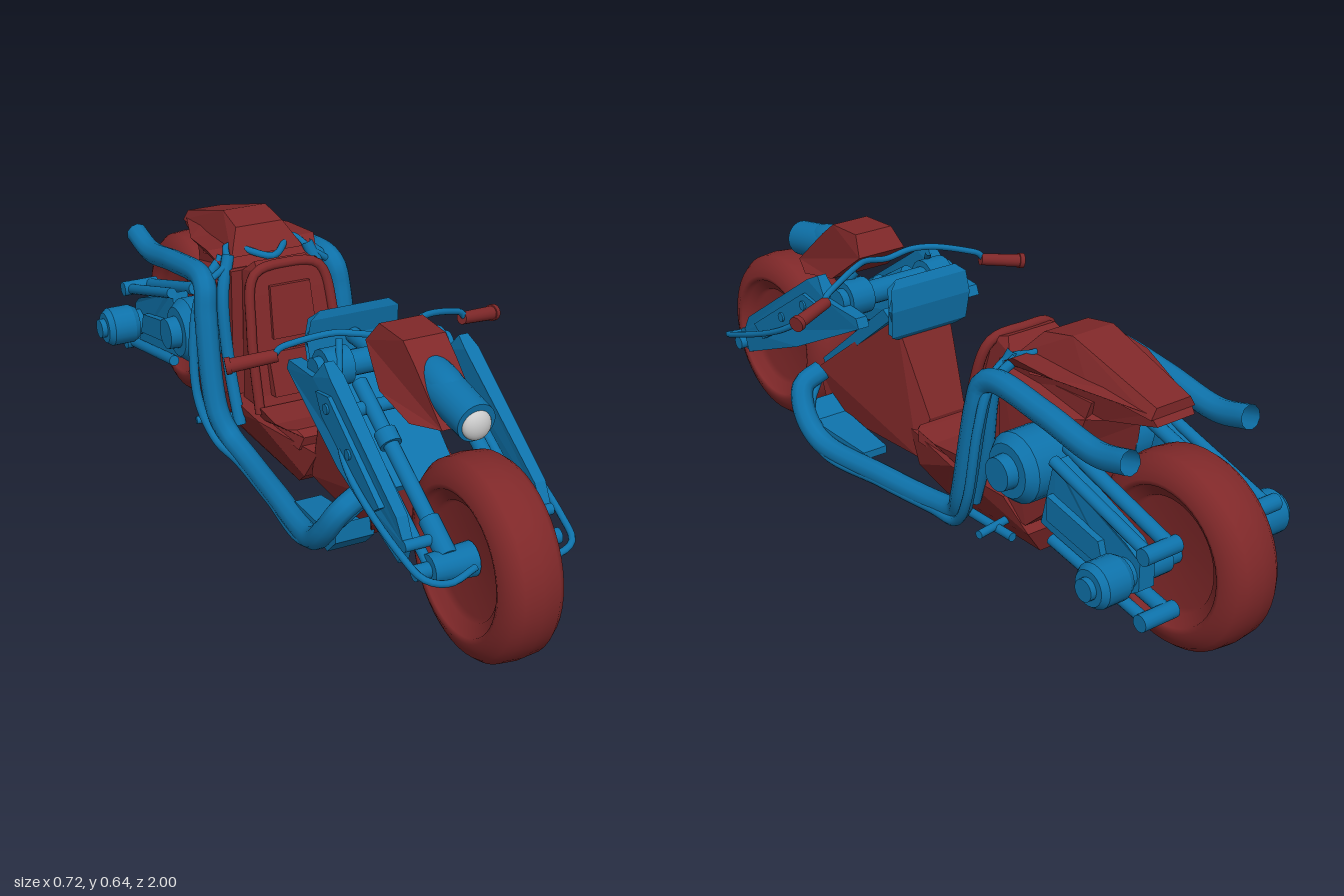
import * as THREE from 'three';

const RED = new THREE.MeshStandardMaterial({ color: 0x7f2829 });
const BLUE = new THREE.MeshStandardMaterial({ color: 0x0e72aa });
const GREY = new THREE.MeshStandardMaterial({ color: 0xcccccc });
const RED2 = RED.clone(), BLUE2 = BLUE.clone();
RED2.side = BLUE2.side = THREE.DoubleSide;

export function createModel() {
  const model = new THREE.Group();
  model.name = 'motorcycle';
  const V = (p) => new THREE.Vector3(...p);
  const add = (name, geo, mat) => {
    const m = new THREE.Mesh(geo, mat);
    m.name = name;
    model.add(m);
    return m;
  };

  // Faceted panel: side outline of [z, y, halfWidth], spread to both sides of x0
  function slab(name, mat, outline, x0 = 0) {
    let pts = outline;
    const flat = (a) => a.map(([z, y]) => new THREE.Vector2(z, y));
    if (THREE.ShapeUtils.isClockWise(flat(pts))) pts = [...pts].reverse();
    const L = pts.map(([z, y, w]) => [x0 - w, y, z]);
    const R = pts.map(([z, y, w]) => [x0 + w, y, z]);
    const out = [];
    for (const [a, b, c] of THREE.ShapeUtils.triangulateShape(flat(pts), [])) {
      out.push(L[a], L[b], L[c], R[a], R[c], R[b]);
    }
    pts.forEach((_, i) => {
      const j = (i + 1) % pts.length;
      out.push(L[i], R[i], R[j], L[i], R[j], L[j]);
    });
    const g = new THREE.BufferGeometry();
    g.setAttribute('position', new THREE.Float32BufferAttribute(out.flat(), 3));
    g.computeVertexNormals();
    return add(name, g, mat);
  }

  // Straight cylinder between two points
  function rod(name, mat, a, b, r, r2 = r, sides = 16) {
    const A = V(a), B = V(b), d = B.clone().sub(A);
    const m = add(name, new THREE.CylinderGeometry(r2, r, d.length(), sides), mat);
    m.position.copy(A).add(B).multiplyScalar(0.5);
    m.quaternion.setFromUnitVectors(new THREE.Vector3(0, 1, 0), d.normalize());
    return m;
  }

  const tube = (name, mat, pts, r, n = 48) =>
    add(name, new THREE.TubeGeometry(new THREE.CatmullRomCurve3(pts.map(V), false, 'centripetal'), n, r, 10), mat);

  // Wheels: round tyre, rim lip and dished disc
  for (const [name, z] of [['front', 0.77], ['rear', -0.77]]) {
    const half = [[0, 0.035], [0.128, 0.038], [0.135, 0.052], [0.158, 0.058], [0.163, 0.073], [0.175, 0.077],
      [0.195, 0.068], [0.213, 0.059], [0.226, 0.042]];
    const profile = [...half.map(([r, x]) => [r, -x]), [0.23, 0], ...half.reverse()];
    const w = add(name + 'Wheel', new THREE.LatheGeometry(profile.map(([r, x]) => new THREE.Vector2(r, x)), 48), RED2);
    w.rotation.z = Math.PI / 2;
    w.position.set(0, 0.23, z);
  }

  // Headlight
  rod('headlightHousing', BLUE, [0, 0.555, 0.5], [0, 0.522, 0.715], 0.05, 0.046, 24);
  const hood = add('headlightHood', new THREE.SphereGeometry(0.05, 24, 16), BLUE);
  hood.scale.set(0.9, 0.9, 2.4);
  hood.position.set(0, 0.555, 0.56);
  hood.rotation.x = 0.15;
  const lens = add('headlightLens', new THREE.SphereGeometry(0.035, 24, 16), GREY);
  lens.scale.z = 0.6;
  lens.position.set(0, 0.518, 0.715);

  // Front cowl
  slab('frontCowl', RED, [[0.66, 0.49, 0.05], [0.54, 0.595, 0.052], [0.49, 0.633, 0.053], [0.385, 0.635, 0.055],
    [0.35, 0.585, 0.07], [0.45, 0.505, 0.088], [0.58, 0.48, 0.085]]);

  // Front body wedge and its leading edge
  slab('frontBody', RED, [[0.475, 0.26, 0.12], [0.2, 0.48, 0.08], [0.18, 0.47, 0.08], [0.08, 0.235, 0.055],
    [0.1, 0.13, 0.08], [0.42, 0.13, 0.09], [0.465, 0.18, 0.11]]);
  slab('frontBodyTrim', BLUE, [[0.485, 0.275, 0.1], [0.21, 0.5, 0.1], [0.18, 0.48, 0.1], [0.47, 0.25, 0.1]]);

  // Floor pan, belly and seat
  slab('belly', RED, [[0.13, 0.2, 0.08], [0.08, 0.12, 0.09], [0, 0.065, 0.065], [-0.36, 0.06, 0.065],
    [-0.38, 0.13, 0.12], [-0.3, 0.2, 0.13], [-0.1, 0.2, 0.13]]);
  slab('seatCushion', RED, [[0.08, 0.225, 0.09], [0.06, 0.24, 0.1], [0.045, 0.238, 0.12], [-0.02, 0.225, 0.12],
    [-0.11, 0.23, 0.12], [-0.13, 0.19, 0.11], [0.07, 0.19, 0.1]]);
  slab('seatBack', RED, [[-0.115, 0.21, 0.1], [-0.13, 0.25, 0.11], [-0.185, 0.5, 0.105], [-0.2, 0.56, 0.08],
    [-0.24, 0.57, 0.07], [-0.27, 0.54, 0.09], [-0.25, 0.2, 0.1]]);
  slab('seatPad', RED, [[-0.11, 0.25, 0.075], [-0.14, 0.36, 0.08], [-0.15, 0.36, 0.08], [-0.14, 0.25, 0.08]]);
  slab('headRest', RED, [[-0.15, 0.39, 0.06], [-0.18, 0.52, 0.055], [-0.2, 0.52, 0.055], [-0.18, 0.39, 0.06]]);
  tube('seatPiping', RED, [[0.115, 0.21, -0.12], [0.115, 0.42, -0.165], [0.09, 0.55, -0.2], [0, 0.565, -0.21],
    [-0.09, 0.55, -0.2], [-0.115, 0.42, -0.165], [-0.115, 0.21, -0.12]], 0.013);
  tube('seatHoop', BLUE, [[0.19, 0.5, -0.3], [0.12, 0.55, -0.3], [0.09, 0.575, -0.36], [0, 0.56, -0.28],
    [-0.09, 0.575, -0.36], [-0.12, 0.55, -0.3], [-0.19, 0.5, -0.3]], 0.009);

  // Rear body and tail
  slab('rearBody', RED, [[-0.27, 0.54, 0.12], [-0.55, 0.52, 0.09], [-0.51, 0.4, 0.1], [-0.48, 0.25, 0.11],
    [-0.37, 0.15, 0.12], [-0.27, 0.15, 0.12]]);
  slab('tailBase', RED, [[-0.29, 0.54, 0.13], [-0.35, 0.575, 0.15], [-0.48, 0.565, 0.14], [-0.57, 0.56, 0.075],
    [-0.7, 0.54, 0.06], [-0.72, 0.515, 0.055], [-0.57, 0.48, 0.07], [-0.48, 0.47, 0.14], [-0.3, 0.5, 0.15]]);
  slab('tailRidge', RED, [[-0.31, 0.56, 0.1], [-0.36, 0.62, 0.065], [-0.45, 0.637, 0.06], [-0.71, 0.555, 0.05],
    [-0.71, 0.53, 0.065], [-0.53, 0.55, 0.085], [-0.4, 0.55, 0.14]]);

  // Handlebar and dash plate
  tube('handlebar', BLUE, [[0.25, 0.54, 0.25], [0.235, 0.558, 0.252], [0.21, 0.568, 0.26], [0.12, 0.59, 0.295],
    [0.07, 0.588, 0.32], [0, 0.575, 0.33], [-0.07, 0.588, 0.32], [-0.12, 0.59, 0.295], [-0.21, 0.568, 0.26],
    [-0.235, 0.558, 0.252], [-0.25, 0.54, 0.25]], 0.008);
  slab('dashPlate', BLUE, [[0.165, 0.59, 0.09], [0.152, 0.57, 0.115], [0.143, 0.515, 0.12], [0.152, 0.445, 0.115],
    [0.165, 0.43, 0.09], [0.168, 0.45, 0.115], [0.158, 0.515, 0.12], [0.168, 0.57, 0.115]]);
  rod('dashStem', BLUE, [0, 0.51, 0.15], [0, 0.51, 0.32], 0.02);
  rod('steeringCrossbar', BLUE, [-0.16, 0.51, 0.3], [0.16, 0.51, 0.3], 0.03);
  rod('upperYoke', BLUE, [-0.14, 0.46, 0.43], [0.14, 0.46, 0.43], 0.016);
  rod('frontAxle', BLUE, [-0.18, 0.24, 0.78], [0.18, 0.24, 0.78], 0.018);
  rod('rearAxle', BLUE, [-0.2, 0.23, -0.77], [0.2, 0.23, -0.77], 0.025);

  for (const s of [1, -1]) {
    const tag = s > 0 ? 'left' : 'right';

    // Grips
    rod(tag + 'Grip', RED, [s * 0.24, 0.541, 0.25], [s * 0.345, 0.523, 0.217], 0.015, 0.017);
    rod(tag + 'GripEnd', RED, [s * 0.34, 0.524, 0.218], [s * 0.352, 0.522, 0.214], 0.02);

    // Floor panel between the body and the exhaust
    slab(tag + 'FloorPanel', BLUE, [[0.44, 0.19, 0.05], [0.4, 0.15, 0.05], [0.2, 0.13, 0.035], [0.2, 0.11, 0.035],
      [0.4, 0.1, 0.05], [0.44, 0.14, 0.05]], s * 0.14);

    // Front fork
    slab(tag + 'ForkPlate', BLUE, [[0.74, 0.29, 0.012], [0.71, 0.34, 0.014], [0.41, 0.54, 0.018], [0.37, 0.56, 0.012],
      [0.33, 0.51, 0.02], [0.2, 0.5, 0.016], [0.19, 0.475, 0.016], [0.46, 0.34, 0.022], [0.72, 0.235, 0.012]], s * 0.172);
    slab(tag + 'ForkRib', BLUE, [[0.66, 0.34, 0.008], [0.42, 0.5, 0.008], [0.36, 0.49, 0.008], [0.39, 0.44, 0.008],
      [0.62, 0.31, 0.008]], s * 0.192);
    for (const t of [0.5, 0.76]) {
      const y = 0.28 + 0.25 * t, z = 0.72 - 0.4 * t;
      rod(tag + 'ForkBolt', BLUE, [s * 0.19, y, z], [s * 0.205, y, z], 0.012);
    }
    rod(tag + 'ForkTube', BLUE, [s * 0.1, 0.26, 0.78], [s * 0.1, 0.5, 0.38], 0.018);
    rod(tag + 'ForkSleeve', BLUE, [s * 0.1, 0.26, 0.78], [s * 0.1, 0.31, 0.7], 0.024);
    rod(tag + 'ForkCollar', BLUE, [s * 0.1, 0.41, 0.53], [s * 0.1, 0.43, 0.5], 0.026);
    rod(tag + 'ForkStrut', BLUE, [s * 0.14, 0.24, 0.78], [s * 0.14, 0.42, 0.48], 0.012);
    rod(tag + 'ForkCrossbar', BLUE, [s * 0.08, 0.285, 0.74], [s * 0.185, 0.285, 0.74], 0.013);
    rod(tag + 'FrontHub', BLUE, [s * 0.04, 0.24, 0.78], [s * 0.145, 0.24, 0.78], 0.04, 0.034);
    rod(tag + 'SteeringPod', BLUE, [s * 0.09, 0.51, 0.3], [s * 0.155, 0.51, 0.3], 0.046);
    rod(tag + 'SteeringPodCap', BLUE, [s * 0.15, 0.51, 0.3], [s * 0.175, 0.51, 0.3], 0.03);
    tube(tag + 'BrakeLine', BLUE, [[s * 0.06, 0.25, 0.83], [s * 0.13, 0.238, 0.845], [s * 0.18, 0.25, 0.83],
      [s * 0.198, 0.275, 0.76], [s * 0.2, 0.38, 0.5], [s * 0.15, 0.48, 0.38], [s * 0.11, 0.575, 0.3]], 0.008);

    // Exhaust: two pipes sweeping under the floor, the upper one runs to the tail
    tube(tag + 'Exhaust', BLUE2, [[s * 0.13, 0.26, 0.45], [s * 0.185, 0.23, 0.455], [s * 0.205, 0.17, 0.42],
      [s * 0.203, 0.115, 0.35], [s * 0.18, 0.105, 0.1], [s * 0.165, 0.11, -0.1], [s * 0.17, 0.13, -0.18],
      [s * 0.188, 0.19, -0.22], [s * 0.19, 0.44, -0.275], [s * 0.183, 0.5, -0.29], [s * 0.178, 0.518, -0.325],
      [s * 0.178, 0.5, -0.5], [s * 0.178, 0.472, -0.67], [s * 0.178, 0.49, -0.77]], 0.029, 100);
    tube(tag + 'LowerPipe', BLUE, [[s * 0.13, 0.24, 0.46], [s * 0.18, 0.18, 0.43], [s * 0.213, 0.1, 0.34],
      [s * 0.195, 0.093, 0.1], [s * 0.185, 0.1, -0.1], [s * 0.2, 0.12, -0.21], [s * 0.218, 0.21, -0.275],
      [s * 0.21, 0.4, -0.305], [s * 0.18, 0.5, -0.31], [s * 0.12, 0.56, -0.33]], 0.012, 70);
    tube(tag + 'SeatFrame', BLUE, [[s * 0.135, 0.15, -0.2], [s * 0.14, 0.3, -0.25], [s * 0.14, 0.48, -0.28],
      [s * 0.11, 0.57, -0.31]], 0.016);
    rod(tag + 'SideRail', BLUE, [s * 0.15, 0.125, -0.15], [s * 0.15, 0.125, -0.36], 0.011);
    rod(tag + 'FootPeg', BLUE, [s * 0.1, 0.13, -0.29], [s * 0.21, 0.13, -0.31], 0.01);

    // Engine drum
    for (const [a, b, r, r2] of [[0.1, 0.19, 0.085, 0.085], [0.19, 0.215, 0.085, 0.065], [0.215, 0.245, 0.042, 0.04]]) {
      rod(tag + 'EngineDrum', BLUE, [s * a, 0.34, -0.415], [s * b, 0.34, -0.415], r, r2, 20);
    }

    // Swing arm with twin rods and drum hub
    slab(tag + 'SwingArm', BLUE, [[-0.49, 0.23, 0.022], [-0.53, 0.4, 0.022], [-0.57, 0.38, 0.026], [-0.77, 0.3, 0.026],
      [-0.81, 0.27, 0.022], [-0.81, 0.2, 0.022], [-0.77, 0.175, 0.026], [-0.55, 0.22, 0.026]], s * 0.155);
    slab(tag + 'SwingArmRib', BLUE, [[-0.53, 0.32, 0.012], [-0.7, 0.28, 0.012], [-0.72, 0.22, 0.012],
      [-0.53, 0.26, 0.012]], s * 0.185);
    for (const [y0, y1] of [[0.41, 0.305], [0.215, 0.145]]) {
      rod(tag + 'SwingRod', BLUE, [s * 0.12, y0, -0.51], [s * 0.12, y1, -0.84], 0.017);
      rod(tag + 'OuterRod', BLUE, [s * 0.178, y0 - 0.01, -0.53], [s * 0.178, y1, -0.83], 0.014);
      rod(tag + 'RodEnd', BLUE, [s * 0.1, y1, -0.84], [s * 0.2, y1, -0.84], 0.02);
    }
    for (const [a, b, r, r2] of [[0.07, 0.2, 0.035, 0.035], [0.195, 0.21, 0.045, 0.053], [0.21, 0.27, 0.053, 0.053],
      [0.27, 0.285, 0.053, 0.042], [0.285, 0.3, 0.026, 0.026]]) {
      rod(tag + 'RearHub', BLUE, [s * a, 0.23, -0.77], [s * b, 0.23, -0.77], r, r2, 20);
    }
  }
  return model;
}
